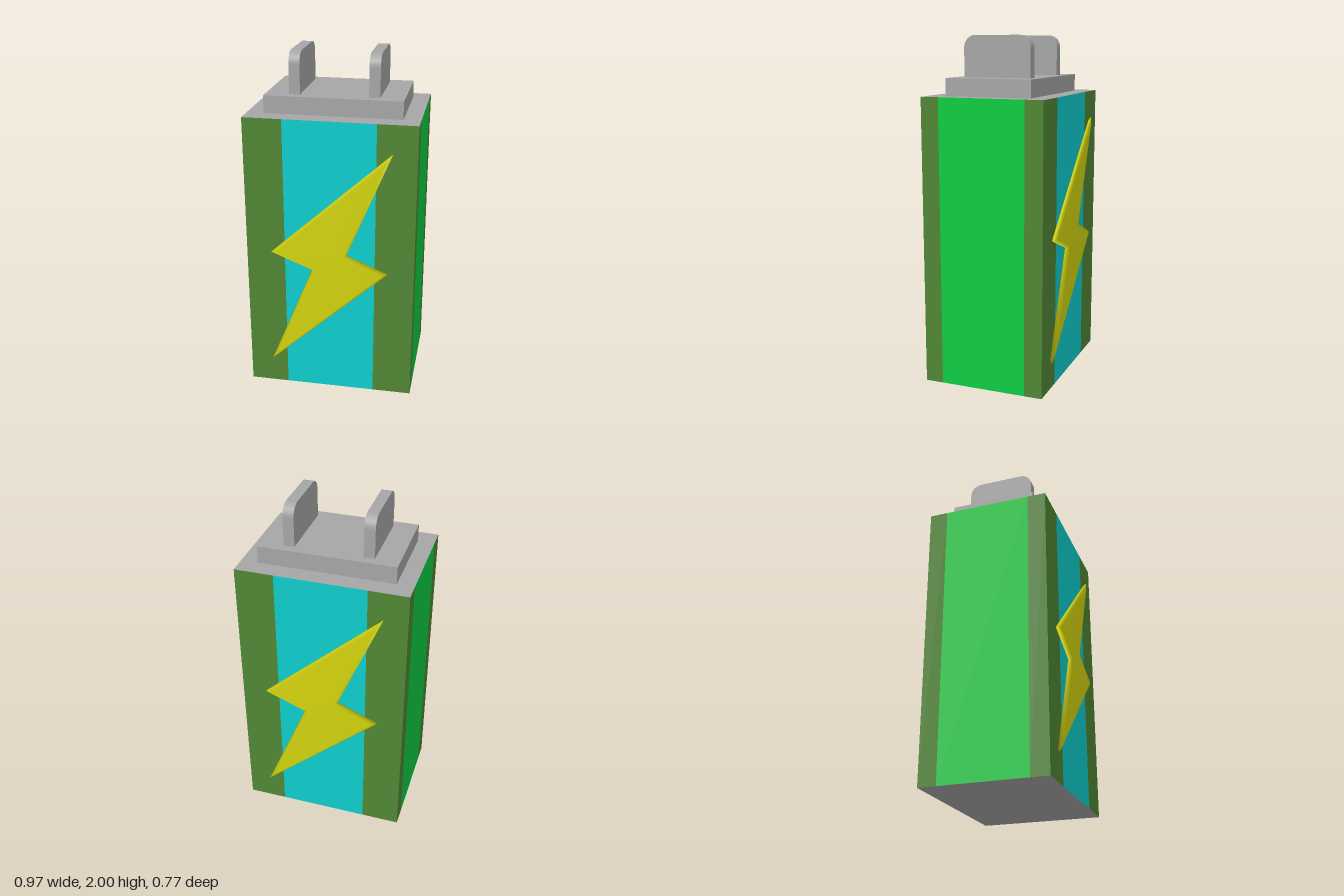
import * as THREE from 'three';

const W = 0.487, D = 0.36, H = 1.665; // body half width, half depth, height

function material(name, color) {
  const m = new THREE.MeshStandardMaterial({ color });
  m.name = name;
  return m;
}

function add(parent, name, geometry, mat) {
  const mesh = new THREE.Mesh(geometry, mat);
  mesh.name = name;
  parent.add(mesh);
  return mesh;
}

// Moves every corner of a counter-clockwise outline inwards by d
function inset(points, d) {
  const n = points.length;
  return points.map((p, i) => {
    const a = p.clone().sub(points[(i + n - 1) % n]).normalize();
    const b = points[(i + 1) % n].clone().sub(p).normalize();
    const na = new THREE.Vector2(-a.y, a.x), nb = new THREE.Vector2(-b.y, b.x);
    const miter = na.clone().add(nb);
    return p.clone().addScaledVector(miter, d / (1 + na.dot(nb)));
  });
}

// Lightning bolt: bevelled loops of one outline, closed by a front face
function boltGeometry() {
  const outline = [
    [0.355, 1.507], [-0.341, 0.875], [-0.1, 0.778],
    [-0.355, 0.157], [0.341, 0.79], [0.1, 0.887],
  ].map(([x, y]) => new THREE.Vector2(x, y));
  const n = outline.length;
  const loops = [[0.005, D], [0, D + 0.01], [0.004, D + 0.017], [0.018, D + 0.025]];
  const positions = [], index = [];
  for (const [d, z] of loops) {
    for (const p of inset(outline, d)) positions.push(p.x, p.y, z);
  }
  for (let k = 0; k < loops.length - 1; k++) {
    for (let i = 0; i < n; i++) {
      const j = (i + 1) % n, a = k * n, b = a + n;
      index.push(a + i, a + j, b + j, a + i, b + j, b + i);
    }
  }
  const base = (loops.length - 1) * n;
  for (const face of THREE.ShapeUtils.triangulateShape(inset(outline, 0.018), [])) {
    index.push(...face.map((v) => v + base));
  }
  const g = new THREE.BufferGeometry();
  g.setAttribute('position', new THREE.Float32BufferAttribute(positions, 3));
  g.setIndex(index);
  g.computeVertexNormals();
  return g;
}

// Upright prong plate with rounded upper corners
function prongGeometry() {
  const w = 0.2, y0 = 1.76, y1 = 2, r = 0.07, t = 0.062;
  const s = new THREE.Shape();
  s.moveTo(-w, y0);
  s.lineTo(w, y0);
  s.lineTo(w, y1 - r);
  s.absarc(w - r, y1 - r, r, 0, Math.PI / 2, false);
  s.absarc(-w + r, y1 - r, r, Math.PI / 2, Math.PI, false);
  s.closePath();
  const g = new THREE.ExtrudeGeometry(s, { depth: t, bevelEnabled: false, curveSegments: 8 });
  return g.translate(0, 0, -t / 2).rotateY(Math.PI / 2);
}

export function createModel() {
  const model = new THREE.Group();
  model.name = 'battery';
  const olive = material('olive green', 0x508634);
  const cyan = material('cyan', 0x0fcccc);
  const green = material('bright green', 0x0dcb42);
  const yellow = material('yellow', 0xd2d20f);
  const grey = material('grey', 0xa5a5a5);

  // Each wall is a middle stripe between two olive corner bands
  const body = new THREE.Group();
  body.name = 'body';
  model.add(body);
  const wall = (name, half, stripe, distance, angle, mat) => {
    const edges = [-half, -stripe, stripe, half];
    for (let i = 0; i < 3; i++) {
      const g = new THREE.PlaneGeometry(edges[i + 1] - edges[i], H);
      g.translate((edges[i] + edges[i + 1]) / 2, H / 2, distance).rotateY(angle);
      add(body, name + (i === 1 ? 'Stripe' : 'CornerBand'), g, i === 1 ? mat : olive);
    }
  };
  wall('front', W, 0.262, D, 0, cyan);
  wall('left', D, 0.254, W, Math.PI / 2, green);
  wall('back', W, 0.262, D, Math.PI, cyan);
  wall('right', D, 0.254, W, -Math.PI / 2, green);

  // Grey ends of the body
  const end = () => new THREE.PlaneGeometry(2 * W, 2 * D);
  add(body, 'topFace', end().rotateX(-Math.PI / 2).translate(0, H, 0), grey);
  add(body, 'bottomFace', end().rotateX(Math.PI / 2), grey);

  // Raised cap and two prongs
  add(model, 'cap', new THREE.BoxGeometry(0.78, 0.1, 0.506), grey).position.y = H + 0.05;
  const prong = prongGeometry();
  add(model, 'leftProng', prong, grey).position.x = 0.224;
  add(model, 'rightProng', prong, grey).position.x = -0.224;

  // Bolts on front and back
  const bolt = boltGeometry();
  add(model, 'frontBolt', bolt, yellow);
  add(model, 'backBolt', bolt, yellow).rotation.y = Math.PI;
  return model;
}
